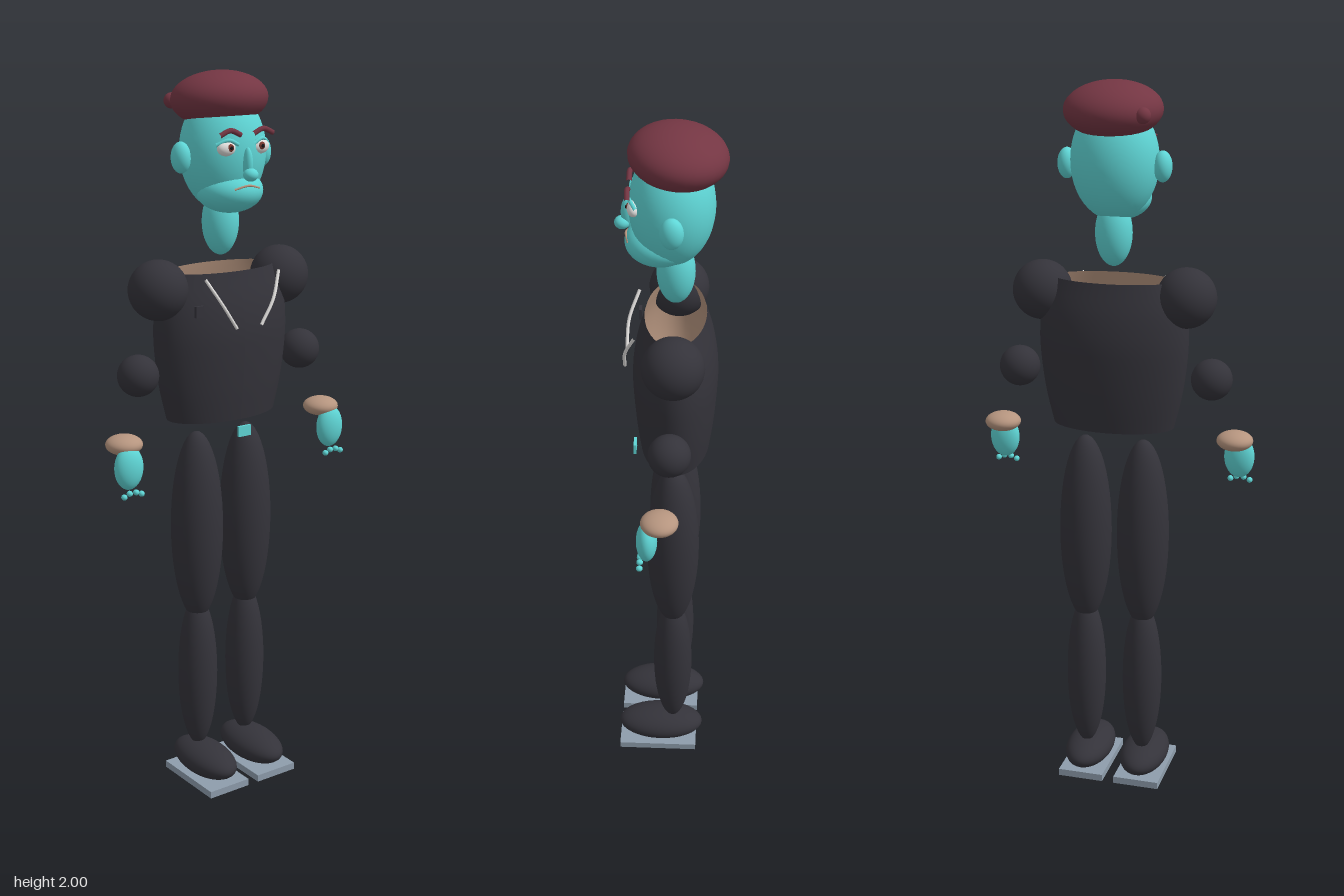
import * as THREE from 'three';

const mat = (name, color) => {
  const m = new THREE.MeshStandardMaterial({ color });
  m.name = name;
  return m;
};

export function createModel() {
  const skin = mat('turquoise skin', 0x5fd6d6);
  const cloth = mat('charcoal cloth', 0x34333a);
  const maroon = mat('maroon felt', 0x743643);
  const tan = mat('tan', 0xb6957f);
  const sole = mat('grey sole', 0x8e9dac);
  const white = mat('off white', 0xe4e2e0);
  const brown = mat('brown iris', 0x7a3a30);
  const black = mat('black', 0x17161a);

  const model = new THREE.Group();
  model.name = 'figure';
  const add = (name, geo, material, pos = [0, 0, 0]) => {
    const mesh = new THREE.Mesh(geo, material);
    mesh.name = name;
    mesh.position.set(...pos);
    model.add(mesh);
    return mesh;
  };
  const unit = new THREE.SphereGeometry(1, 32, 24);
  const ball = (name, material, pos, radii) => {
    const mesh = add(name, unit, material, pos);
    mesh.scale.set(...radii);
    return mesh;
  };
  const box = (name, material, pos, size) => add(name, new THREE.BoxGeometry(...size), material, pos);
  const tube = (name, material, pts, r) => {
    const curve = new THREE.CatmullRomCurve3(pts.map(p => new THREE.Vector3(...p)));
    return add(name, new THREE.TubeGeometry(curve, 16, r, 8), material);
  };

  // Torso: open shell, oval in plan and flatter towards the top, with an inward-facing lining
  const profile = new THREE.SplineCurve([
    [0.169, 1.076], [0.189, 1.16], [0.202, 1.25], [0.206, 1.33], [0.198, 1.41], [0.167, 1.482],
  ].map(p => new THREE.Vector2(...p))).getPoints(16);
  const shell = points => {
    const geo = new THREE.LatheGeometry(points, 40);
    const p = geo.attributes.position;
    for (let i = 0; i < p.count; i++) {
      const flat = 0.55 - 0.065 * THREE.MathUtils.smoothstep(p.getY(i), 1.3, 1.482);
      p.setZ(i, p.getZ(i) * flat);
    }
    geo.computeVertexNormals();
    return geo;
  };
  add('torso', shell(profile), cloth, [0, 0, -0.018]);
  const inside = profile.map(p => new THREE.Vector2(p.x - 0.002, p.y)).reverse();
  add('torsoLining', shell(inside), tan, [0, 0, -0.018]);

  // Badge and buckle
  box('badge', cloth, [-0.139, 1.392, 0.083], [0.026, 0.03, 0.008]);
  box('buckle', skin, [0, 1.048, 0.093], [0.04, 0.029, 0.008]);

  // Neck, head and jaw
  ball('neck', skin, [0, 1.605, -0.018], [0.05, 0.09, 0.05]);
  ball('head', skin, [0, 1.793, -0.008], [0.118, 0.158, 0.109]);
  ball('jaw', skin, [0, 1.692, 0.022], [0.09, 0.059, 0.09]);

  // Nose and mouth
  ball('noseBridge', skin, [0, 1.768, 0.104], [0.012, 0.042, 0.016]);
  ball('noseTip', skin, [0, 1.741, 0.117], [0.02, 0.017, 0.02]);
  tube('mouth', tan, [[-0.04, 1.703, 0.1], [0, 1.712, 0.108], [0.04, 1.703, 0.1]], 0.003);

  // Cap, tipped back, with a small knot at the rear
  ball('cap', maroon, [0, 1.926, -0.023], [0.131, 0.073, 0.125]).rotation.x = -0.09;
  ball('capKnot', maroon, [-0.099, 1.92, -0.099], [0.021, 0.021, 0.021]);

  for (const s of [-1, 1]) {
    const side = s > 0 ? 'left' : 'right';
    const pair = (name, m, [x, y, z], r) => ball(side + name, m, [s * x, y, z], r);

    // Face details
    pair('Ear', skin, [0.13, 1.782, -0.012], [0.025, 0.041, 0.03]);
    pair('Eye', white, [0.053, 1.809, 0.084], [0.028, 0.02, 0.017]);
    pair('Iris', brown, [0.05, 1.811, 0.098], [0.01, 0.01, 0.005]);
    pair('Pupil', black, [0.05, 1.811, 0.102], [0.005, 0.005, 0.003]);
    tube(side + 'UpperLid', skin, [[s * 0.025, 1.818, 0.097], [s * 0.052, 1.83, 0.094],
      [s * 0.082, 1.818, 0.078]], 0.005);
    tube(side + 'Brow', maroon, [[s * 0.02, 1.843, 0.1], [s * 0.052, 1.855, 0.1],
      [s * 0.085, 1.843, 0.098]], 0.007);

    // Neckline trim
    tube(side + 'NecklineTrim', white, [[s * 0.12, 1.475, 0.083], [s * 0.082, 1.405, 0.11],
      [s * 0.04, 1.34, 0.114]], 0.0045);

    // Arms: shoulder, elbow, cuff, hand and fingertips
    pair('Shoulder', cloth, [0.2, 1.44, -0.019], [0.081, 0.081, 0.081]);
    pair('Elbow', cloth, [0.271, 1.22, -0.013], [0.056, 0.056, 0.056]);
    pair('Cuff', tan, [0.333, 1.047, 0.01], [0.05, 0.027, 0.05]);
    pair('Hand', skin, [0.34, 0.992, 0.043], [0.042, 0.06, 0.028]);
    [-0.027, -0.01, 0.01, 0.027].forEach((dx, i) =>
      pair('Finger' + (i + 1), skin, [0.34 + dx, Math.abs(dx) > 0.02 ? 0.92 : 0.927, 0.061],
        [0.008, 0.008, 0.009]));

    // Legs, shoe and sole
    pair('Thigh', cloth, [0.083, 0.758, -0.015], [0.073, 0.277, 0.073]);
    pair('Shin', cloth, [0.083, 0.319, -0.015], [0.056, 0.23, 0.056]);
    pair('Shoe', cloth, [0.083, 0.059, 0.021], [0.067, 0.046, 0.126]);
    box(side + 'Sole', sole, [s * 0.083, 0.01, 0.028], [0.132, 0.02, 0.23]);
  }
  return model;
}
